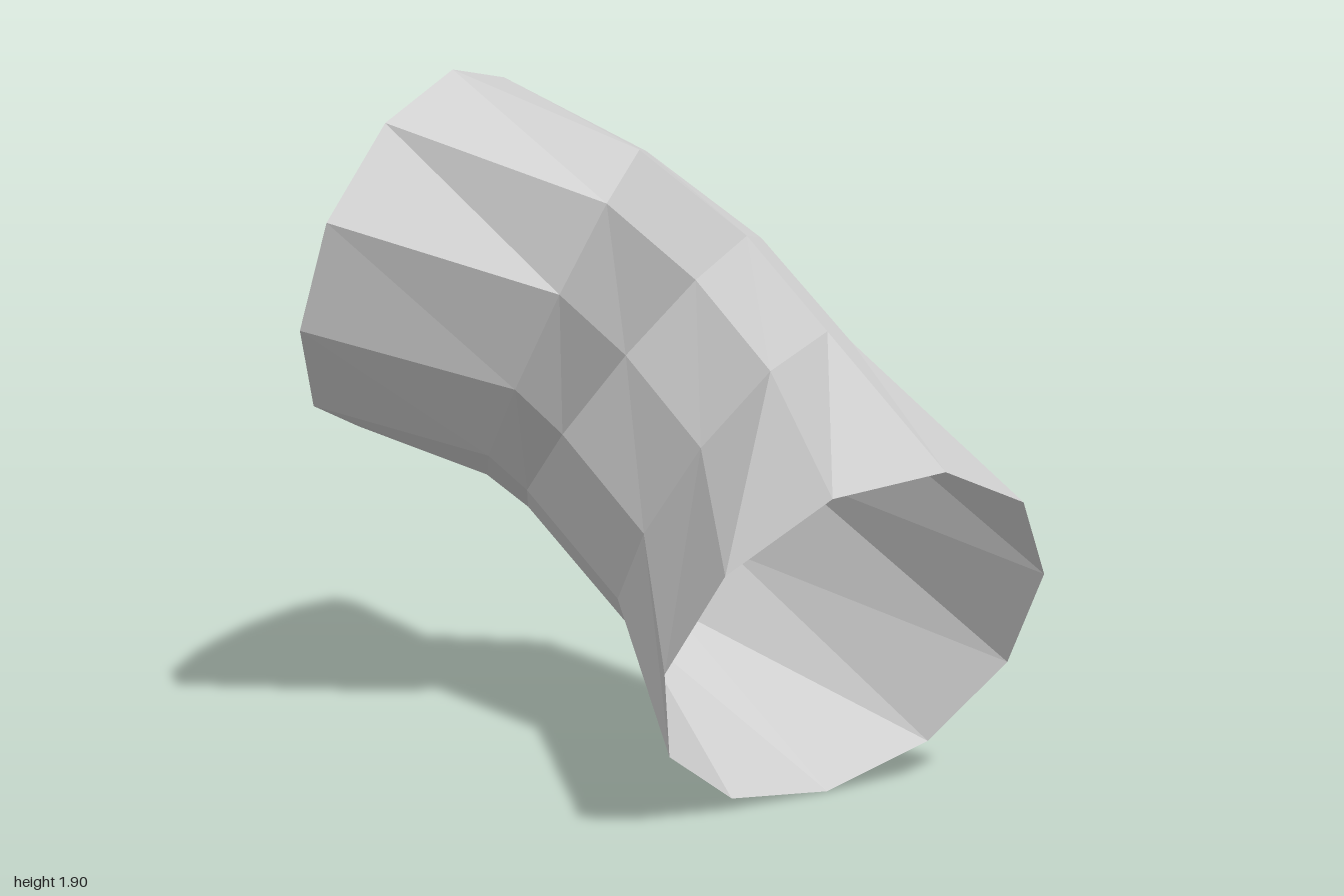
import * as THREE from 'three';

const SIDES = 11;

// Each ring is an ellipse: centre, then two axis vectors (crest side, front side)
const RINGS = [
  [[-0.78, 1.395, 0.04], [0.21, 0.505, 0.07], [0.09, -0.11, 0.525]],    // upper mouth
  [[-0.335, 1.232, -0.075], [0.285, 0.458, 0.02], [0.07, -0.118, 0.24]], // elbow, upper
  [[-0.236, 1.053, -0.285], [0.36, 0.404, -0.015], [0, -0.088, 0.275]], // elbow, lower
  [[0.14, 0.793, -0.22], [0.31, 0.437, 0.01], [-0.05, -0.048, 0.27]],   // middle of lower arm
  [[0.685, 0.475, -0.015], [0.265, 0.475, 0.035], [-0.176, 0.065, 0.52]], // lower mouth
];

// Skin the rings into an open tube
function skinRings(rings, sides) {
  const positions = [], index = [];
  for (const [c, u, v] of rings) {
    for (let k = 0; k < sides; k++) {
      const t = (k / sides) * Math.PI * 2;
      for (let i = 0; i < 3; i++) positions.push(c[i] + u[i] * Math.cos(t) + v[i] * Math.sin(t));
    }
  }
  for (let r = 0; r < rings.length - 1; r++) {
    for (let k = 0; k < sides; k++) {
      const next = (k + 1) % sides;
      const a = r * sides + k, b = r * sides + next;
      const c = b + sides, d = a + sides;
      index.push(a, b, c, a, c, d);
    }
  }
  const geometry = new THREE.BufferGeometry();
  geometry.setAttribute('position', new THREE.Float32BufferAttribute(positions, 3));
  geometry.setIndex(index);
  const flat = geometry.toNonIndexed();
  flat.computeVertexNormals();
  return flat;
}

export function createModel() {
  const group = new THREE.Group();
  group.name = 'bentPipe';
  const material = new THREE.MeshStandardMaterial({
    color: 0xcccccc, flatShading: true, side: THREE.DoubleSide,
  });
  // Open elbow pipe, pinched at the bend
  const pipe = new THREE.Mesh(skinRings(RINGS, SIDES), material);
  pipe.name = 'elbowPipe';
  group.add(pipe);
  return group;
}
